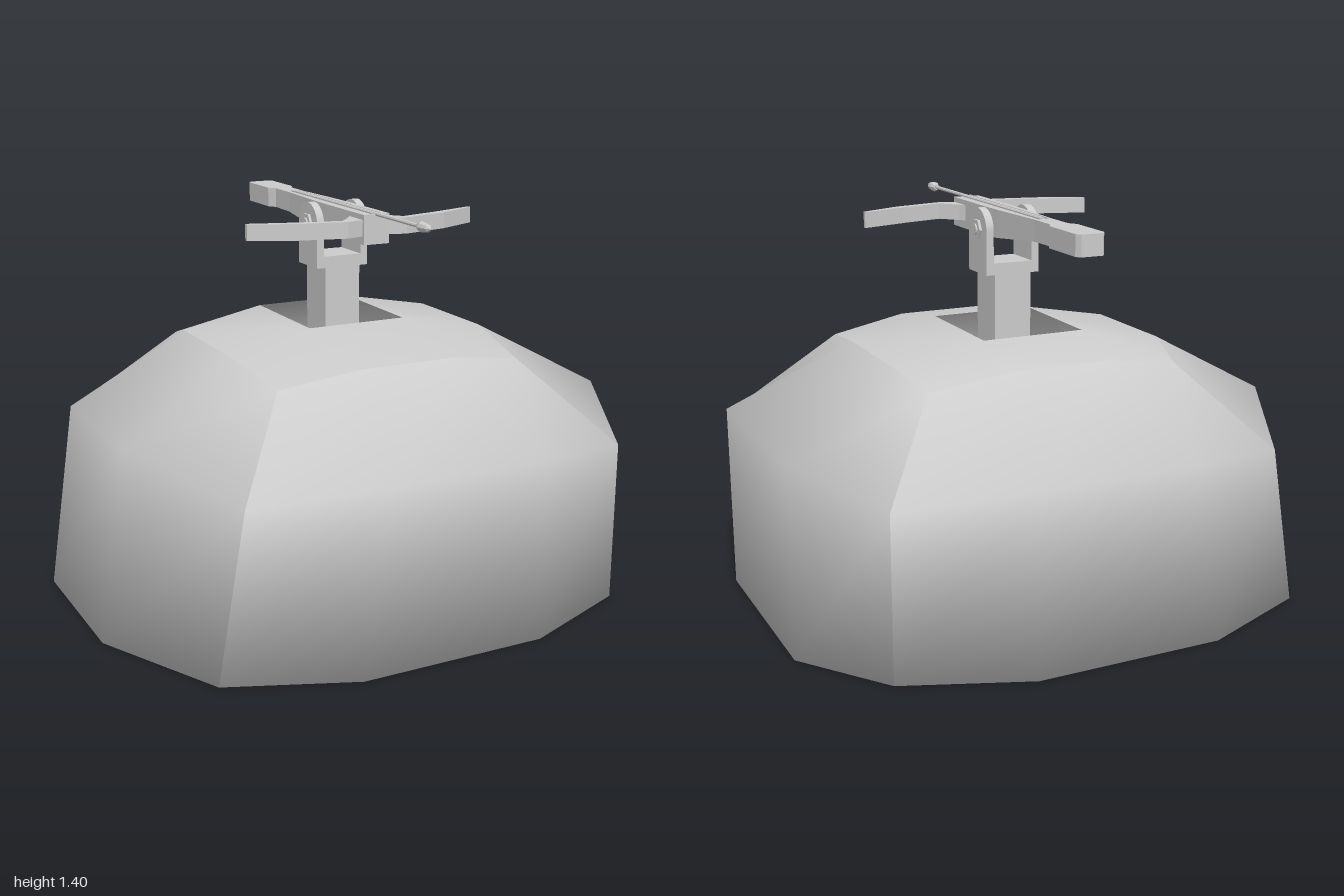
import * as THREE from 'three';

const smooth = new THREE.MeshStandardMaterial({ color: 0xcccccc, side: THREE.DoubleSide });
const flat = new THREE.MeshStandardMaterial({ color: 0xcccccc, flatShading: true });

function add(parent, name, geometry, material = flat, x = 0, y = 0, z = 0) {
  const mesh = new THREE.Mesh(geometry, material);
  mesh.name = name;
  mesh.position.set(x, y, z);
  parent.add(mesh);
  return mesh;
}

// Builds an indexed geometry from corner points and quads or triangles
function fromFaces(points, faces) {
  const index = [];
  for (const f of faces) for (let k = 1; k < f.length - 1; k++) index.push(f[0], f[k], f[k + 1]);
  const g = new THREE.BufferGeometry();
  g.setAttribute('position', new THREE.Float32BufferAttribute(points.flat(), 3));
  g.setIndex(index);
  g.computeVertexNormals();
  return g;
}

// Flat plan outline of [x, z] points, extruded upwards
function planSlab(points, height) {
  const shape = new THREE.Shape(points.map(([x, z]) => new THREE.Vector2(x, -z)));
  return new THREE.ExtrudeGeometry(shape, { depth: height, bevelEnabled: false }).rotateX(-Math.PI / 2);
}

// Hollow boulder: four creased sides and a top with a square opening
function makeBoulder() {
  const boulder = new THREE.Group();
  boulder.name = 'boulder';
  const base = [[-.77, 0, .75], [-.34, 0, .925], [.34, 0, .925], [.77, 0, .75], [1, 0, .28], [1, 0, -.45],
    [.77, 0, -.76], [.34, 0, -.93], [-.34, 0, -.93], [-.77, 0, -.75], [-1, 0, -.3], [-1, 0, .28]];
  const shoulderY = [.58, .64, .64, .58, .67, .67];
  const shoulder = base.map(([x, , z], i) => [x < 0 ? x + .1 : x, shoulderY[i % 6], z]);
  const rim = [[-.42, .86, .46], [-.13, .905, .5], [.23, .905, .5], [.52, .86, .46], [.57, .91, .13], [.57, .91, -.28],
    [.52, .86, -.47], [.23, .905, -.5], [-.13, .905, -.5], [-.42, .86, -.47], [-.46, .91, -.28], [-.46, .91, .13]];
  const hole = [[-.14, .97, .13], [.24, .97, .13], [.24, .97, -.3], [-.14, .97, -.3]];

  for (let s = 0; s < 4; s++) {
    const points = [], faces = [];
    for (const ring of [base, shoulder, rim]) {
      for (let c = 0; c < 4; c++) points.push(ring[(s * 3 + c) % 12]);
    }
    points.push([0, 0, 0]);
    for (let c = 0; c < 3; c++) {
      faces.push([c, c + 1, c + 5, c + 4], [c + 4, c + 5, c + 9, c + 8], [c + 1, c, 12]);
    }
    add(boulder, 'boulderSide', fromFaces(points, faces), smooth);
  }
  const topFaces = [];
  for (let s = 0; s < 4; s++) {
    const c = s * 3, h = 12 + s, next = 12 + (s + 1) % 4;
    topFaces.push([c, c + 1, h, (c + 11) % 12], [c + 1, c + 2, next, h]);
  }
  add(boulder, 'boulderTop', fromFaces([...rim, ...hole], topFaces), smooth);
  return boulder;
}

// Stock lofted from rectangular sections: z, half width, bottom height
function stockGeometry() {
  const top = 1.385;
  const sections = [[.275, .05, 1.28], [0, .05, 1.28], [-.1, .048, 1.285], [-.36, .033, 1.31],
    [-.48, .033, 1.312], [-.51, .052, 1.312], [-.69, .052, 1.312], [-.708, .04, 1.312]];
  const points = [], faces = [[0, 1, 2, 3]];
  sections.forEach(([z, w, y]) => points.push([-w, y, z], [w, y, z], [w, top, z], [-w, top, z]));
  for (let i = 0; i < sections.length - 1; i++) {
    for (let k = 0; k < 4; k++) {
      const a = i * 4 + k, b = i * 4 + (k + 1) % 4;
      faces.push([b, a, a + 4, b + 4]);
    }
  }
  const e = (sections.length - 1) * 4;
  faces.push([e + 3, e + 2, e + 1, e]);
  return fromFaces(points, faces);
}

function makeCrossbow() {
  const bow = new THREE.Group();
  bow.name = 'crossbow';
  add(bow, 'stock', stockGeometry());

  for (const side of [-1, 1]) {
    const mirror = (pts) => pts.map(([x, z]) => [x * side, z]);
    add(bow, 'bowLimb', planSlab(mirror([[.445, .16], [.445, .175], [.29, .245], [.115, .285], [.09, .255],
      [.12, .252], [.27, .215]]), .057), flat, 0, 1.31, 0);
    add(bow, 'bowBracket', planSlab(mirror([[.045, .16], [.065, .19], [.12, .252], [.115, .285], [.045, .265]]), .057),
      flat, 0, 1.31, 0);
    add(bow, 'arrowRail', new THREE.BoxGeometry(.006, .008, .64), flat, side * .014, 1.386, -.05);
  }

  // Arrow resting along the top of the stock
  add(bow, 'arrowShaft', new THREE.CylinderGeometry(.007, .007, .93, 8).rotateX(Math.PI / 2), flat, 0, 1.385, .1);
  const head = new THREE.LatheGeometry([[0, 0], [.011, 0], [.019, .02], [.013, .06], [0, .078]]
    .map(([r, y]) => new THREE.Vector2(r, y)), 8).rotateX(Math.PI / 2);
  add(bow, 'arrowHead', head, flat, 0, 1.385, .56);
  return bow;
}

function makeMount() {
  const mount = new THREE.Group();
  mount.name = 'mount';
  const z = -.055, pivotY = 1.315;
  add(mount, 'post', new THREE.BoxGeometry(.14, 1.16, .15), flat, 0, .58, z);
  add(mount, 'forkBase', new THREE.BoxGeometry(.205, .042, .15), flat, 0, 1.179, z);

  // Rounded fork cheek
  const cheek = new THREE.Shape();
  cheek.moveTo(-.075, 1.2 - pivotY);
  cheek.lineTo(.075, 1.2 - pivotY);
  cheek.absarc(0, 0, .075, 0, Math.PI, false);
  const cheekGeometry = new THREE.ExtrudeGeometry(cheek, { depth: .028, bevelEnabled: false, curveSegments: 12 })
    .rotateY(-Math.PI / 2).translate(.014, 0, 0);

  for (const side of [-1, 1]) {
    add(mount, 'forkCheek', cheekGeometry, flat, side * .0885, pivotY, z);
    add(mount, 'pivotNut', new THREE.CylinderGeometry(.038, .038, .012, 6).rotateZ(Math.PI / 2), flat,
      side * .106, pivotY, z);
    add(mount, 'pivotPin', new THREE.CylinderGeometry(.02, .02, .008, 12).rotateZ(Math.PI / 2), flat,
      side * .114, pivotY, z);
  }
  add(mount, 'pivotAxle', new THREE.CylinderGeometry(.018, .018, .19, 12).rotateZ(Math.PI / 2), flat, 0, pivotY, z);
  return mount;
}

export function createModel() {
  const model = new THREE.Group();
  model.name = 'boulderWithCrossbow';
  const weapon = new THREE.Group();
  weapon.name = 'mountedCrossbow';
  weapon.position.x = .048;
  weapon.add(makeMount(), makeCrossbow());
  model.add(makeBoulder(), weapon);
  return model;
}
